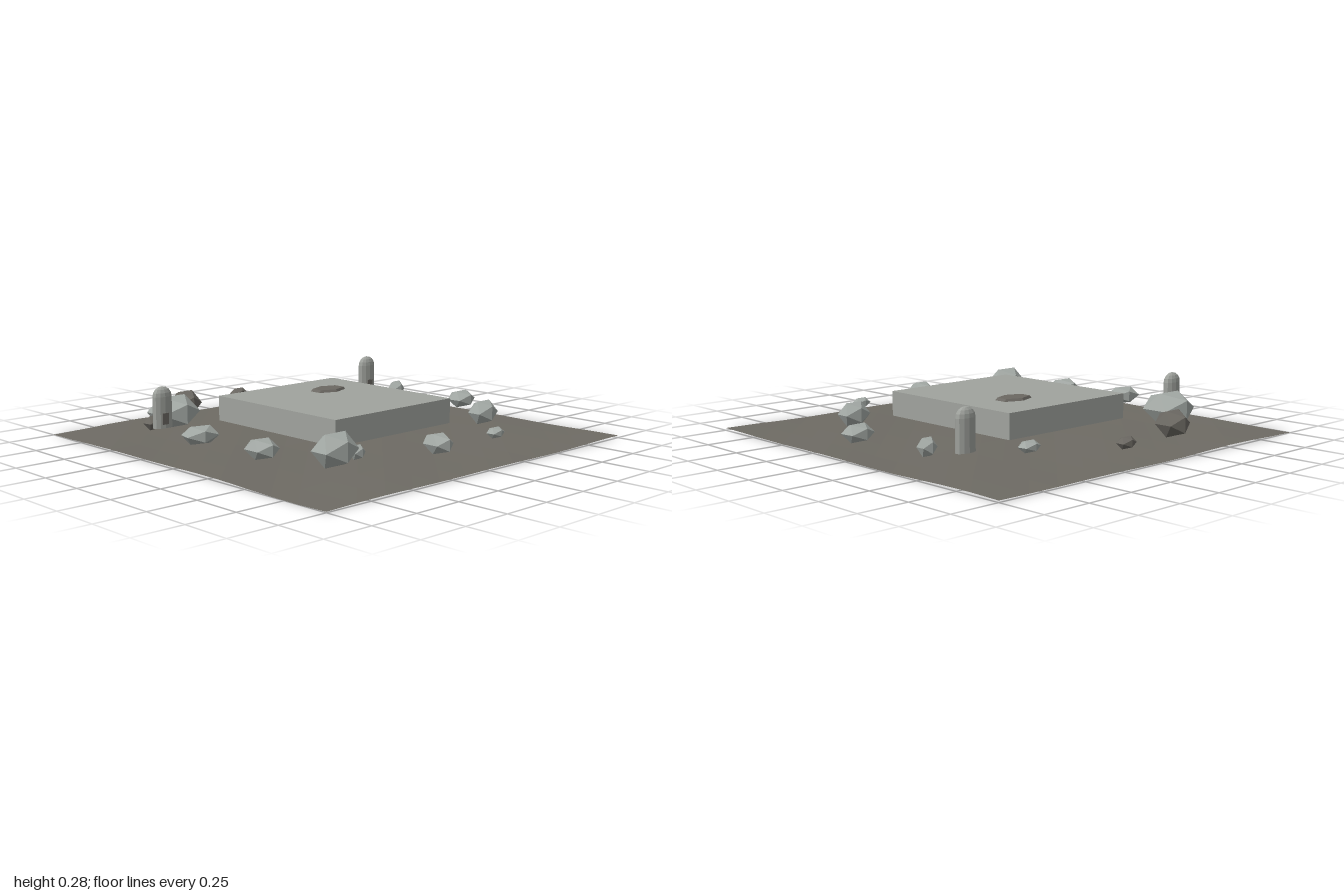
import * as THREE from 'three';

const mat = (name, color, extra = {}) => {
  const m = new THREE.MeshStandardMaterial({ color, flatShading: true, ...extra });
  m.name = name;
  return m;
};

export function createModel() {
  const group = new THREE.Group();
  group.name = 'stoneYard';
  const earth = mat('earth', 0x6e6b64, { side: THREE.DoubleSide });
  const slab = mat('slabStone', 0xa0a39e);
  const pale = mat('paleStone', 0xa2a8a4);
  const dark = mat('darkStone', 0x6b6862);

  const add = (name, geo, material, x, y, z, parent = group) => {
    const mesh = new THREE.Mesh(geo, material);
    mesh.name = name;
    mesh.position.set(x, y, z);
    parent.add(mesh);
    return mesh;
  };

  // Gently rippled ground sheet
  const ground = new THREE.PlaneGeometry(2, 2, 12, 12).rotateX(-Math.PI / 2);
  const p = ground.attributes.position;
  for (let i = 0; i < p.count; i++) {
    const x = p.getX(i), z = p.getZ(i);
    p.setY(i, 0.014 + 0.004 * Math.sin(x * 5 + 0.5) * Math.cos(z * 4) + 0.003 * Math.sin((x + z) * 7));
  }
  ground.computeBoundingBox();
  ground.translate(0, 0.007 - ground.boundingBox.min.y, 0);
  add('ground', ground, earth, 0, 0, 0);
  group.children[0].position.y = -0.007 + 0.005;

  // Raised platform with a worn patch on top
  add('platform', new THREE.BoxGeometry(0.785, 0.125, 0.845), slab, -0.0025, 0.1425, -0.0025);
  const patch = add('platformPatch', new THREE.CylinderGeometry(0.86, 1, 0.016, 6), dark, 0.112, 0.209, -0.165);
  patch.scale.set(0.107, 1, 0.07);

  // Round-topped marker stones, flattened front to back
  for (const side of [1, -1]) {
    const stone = new THREE.Group();
    stone.name = side > 0 ? 'leftMarker' : 'rightMarker';
    stone.position.set(side * 0.705, 0, -0.478);
    const body = new THREE.CylinderGeometry(0.055, 0.055, 0.155, 12, 1, true).scale(1, 1, 0.5);
    const cap = new THREE.SphereGeometry(0.055, 12, 4, 0, Math.PI * 2, 0, Math.PI / 2).scale(1, 0.9, 0.5);
    const foot = new THREE.CircleGeometry(0.055, 12).rotateX(Math.PI / 2).scale(1, 1, 0.5);
    add('markerBody', body, slab, 0, 0.1575, 0, stone);
    add('markerCap', cap, slab, 0, 0.235, 0, stone);
    add('markerFoot', foot, slab, 0, 0.08, 0, stone);
    add('markerPanel', new THREE.BoxGeometry(0.036, 0.056, 0.008), dark, 0, 0.127, 0.025, stone);
    group.add(stone);
  }

  // Scattered rocks: x, z, width, depth, bottom, top, turn, is dark
  const rocks = [
    [-0.335, -0.785, 0.145, 0.155, 0.05, 0.175, 0, 1],
    [0.105, -0.88, 0.09, 0.07, 0.07, 0.125, 0, 1],
    [-0.715, -0.53, 0.11, 0.08, 0.065, 0.135, 0.2, 1],
    [0.48, -0.645, 0.105, 0.08, 0.073, 0.125, 0.15, 0],
    [0.82, -0.355, 0.08, 0.08, 0.06, 0.145, 0, 0],
    [-0.57, -0.57, 0.225, 0.23, 0.05, 0.208, 0, 0],
    [-0.77, -0.095, 0.16, 0.12, 0.07, 0.155, -0.25, 0],
    [-0.745, 0.315, 0.13, 0.15, 0.065, 0.155, 0, 0],
    [-0.57, 0.6, 0.2, 0.16, 0.05, 0.2, 0, 0],
    [-0.465, 0.63, 0.07, 0.065, 0.07, 0.135, 0.1, 0],
    [-0.1, 0.78, 0.11, 0.14, 0.065, 0.155, 0, 0],
    [0.325, 0.765, 0.09, 0.07, 0.07, 0.12, 0.1, 0],
    [0.605, 0.455, 0.145, 0.12, 0.055, 0.17, 0, 0],
    [0.85, 0.1, 0.14, 0.125, 0.06, 0.145, 0.1, 0],
  ];
  const unit = new THREE.IcosahedronGeometry(0.5 / 0.8507, 0);
  rocks.forEach(([x, z, w, d, y0, y1, turn, isDark], i) => {
    const rock = add('rock' + (i + 1), unit, isDark ? dark : pale, x, (y0 + y1) / 2, z);
    rock.scale.set(w, y1 - y0, d);
    rock.rotation.y = turn;
  });
  return group;
}
